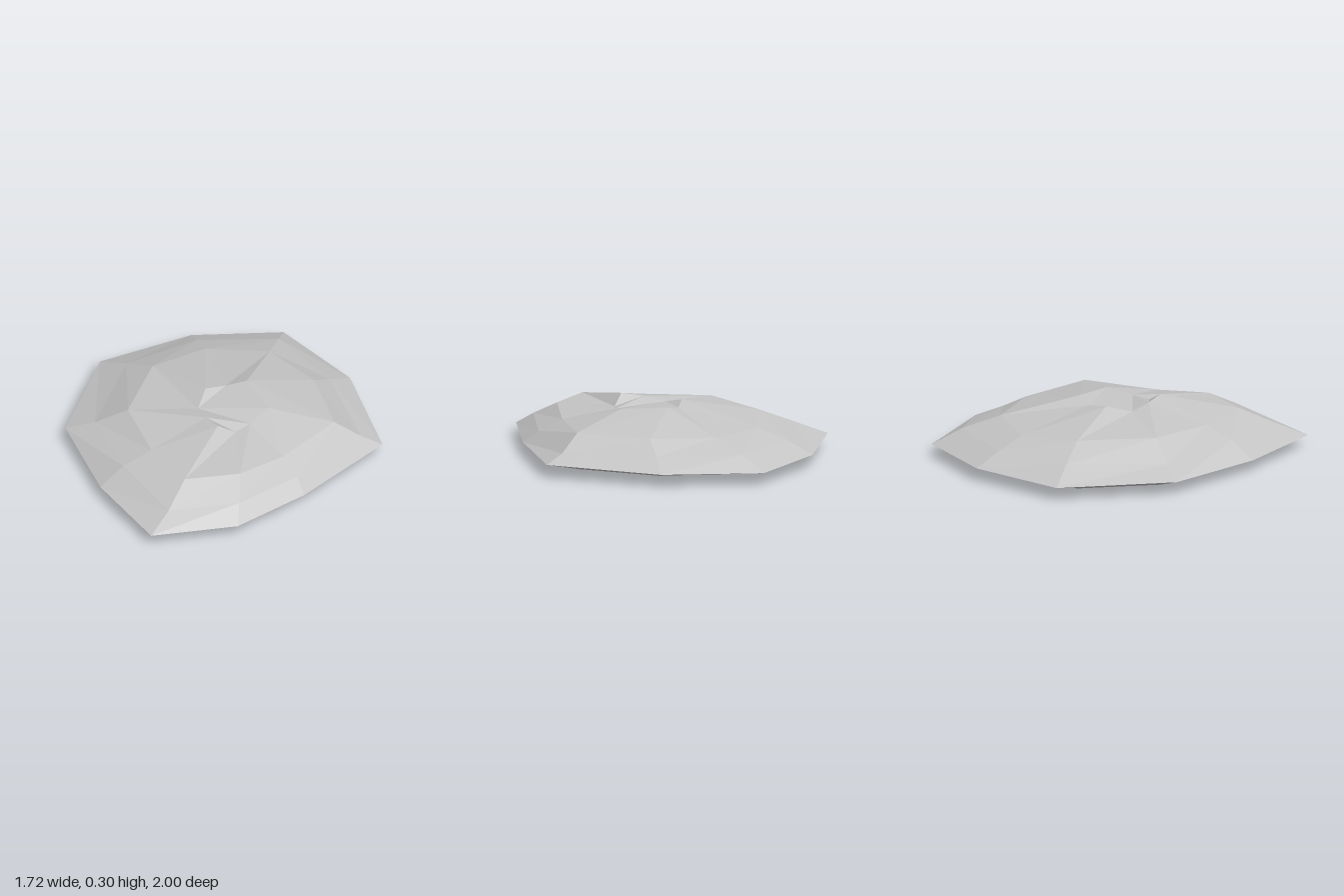
import * as THREE from 'three';

// Each ring runs clockwise seen from above, starting at the back; points are [x, y, z].
const base = [[.05, 0, -.69], [.39, 0, -.42], [.57, 0, 0], [.28, 0, .39], [.1, 0, .61],
  [-.23, 0, .71], [-.47, 0, .45], [-.65, 0, .05], [-.59, 0, -.38], [-.27, 0, -.61]];
const rim = [[.17, .07, -1], [.59, .07, -.63], [.86, .075, -.03], [.51, .065, .49], [.2, .07, .84],
  [-.25, .07, 1], [-.59, .07, .59], [-.86, .077, .08], [-.77, .075, -.57], [-.32, .075, -.89]];
const slope = [[.17, .145, -.83], [.5, .136, -.51], [.74, .12, -.03], [.46, .13, .42], [.19, .14, .72],
  [-.18, .13, .84], [-.48, .16, .5], [-.7, .13, .075], [-.61, .15, -.47], [-.27, .145, -.75]];
const shoulder = [[.15, .205, -.62], [.43, .205, -.39], [.6, .21, -.01], [.37, .195, .33], [.17, .22, .56],
  [-.12, .215, .65], [-.34, .21, .4], [-.52, .225, .065], [-.45, .225, -.36], [-.2, .2, -.6]];
const crown = [[-.02, .275, -.17], [.09, .297, -.2], [.24, .28, .01], [.16, .25, .13], [.09, .24, .205],
  [0, .295, .24], [-.08, .28, .15], [-.14, .257, .04], [-.12, .293, -.1], [-.02, .275, -.17]];

// Joins an outer or lower ring to the next; flipped lists quads cut on the other diagonal.
function band(a, b, flipped = []) {
  const tris = [];
  a.forEach((p, i) => {
    const j = (i + 1) % a.length;
    if (flipped.includes(i)) tris.push([p, b[i], b[j]], [p, b[j], a[j]]);
    else tris.push([p, b[i], a[j]], [a[j], b[i], b[j]]);
  });
  return tris;
}

function facets(name, tris, material) {
  const geometry = new THREE.BufferGeometry();
  geometry.setAttribute('position', new THREE.Float32BufferAttribute(tris.flat(2), 3));
  geometry.computeVertexNormals(); // unshared corners give flat facets
  const mesh = new THREE.Mesh(geometry, material);
  mesh.name = name;
  return mesh;
}

export function createModel() {
  const stone = new THREE.MeshStandardMaterial({ color: 0xc5c5c5 });
  stone.name = 'light grey stone';
  const rock = new THREE.Group();
  rock.name = 'rock';

  // Flat underside and the undercut up to the widest edge
  const floor = base.slice(2).map((p, i) => [base[0], base[i + 1], p]);
  rock.add(facets('underside', floor, stone));
  rock.add(facets('undercut', band(base, rim), stone));

  // Sloping sides up to the crown
  rock.add(facets('lowerSlope', band(rim, slope), stone));
  rock.add(facets('upperSlope', band(slope, shoulder), stone));
  rock.add(facets('shoulder', band(shoulder, crown, [0]), stone));

  // Broken top with a dip and a small raised chip
  const cap = [[8, 7, 0], [0, 2, 1], [0, 7, 2], [2, 7, 3], [3, 7, 6], [3, 6, 4], [4, 6, 5]];
  rock.add(facets('brokenTop', cap.map((t) => t.map((i) => crown[i])), stone));
  return rock;
}
